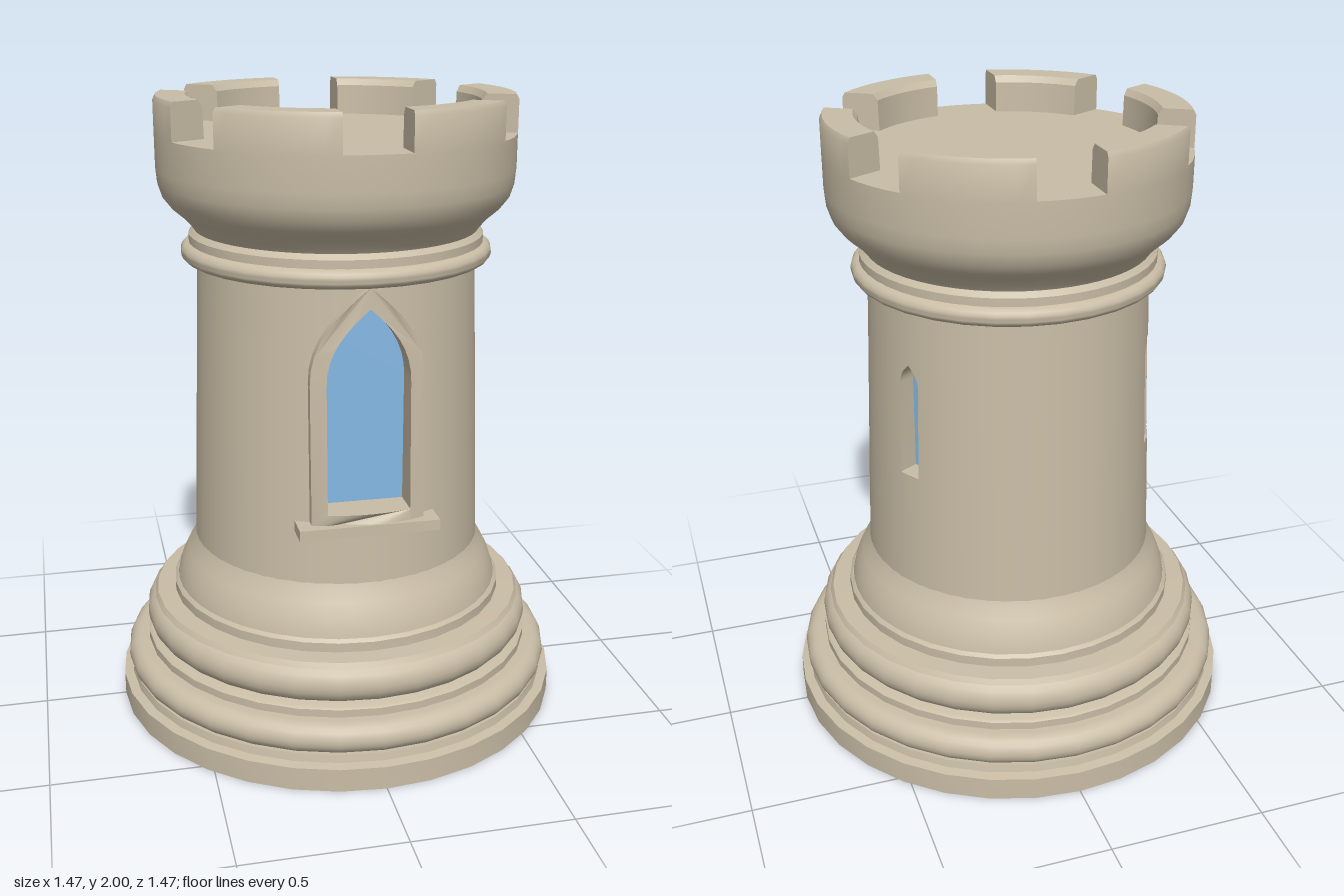
import * as THREE from 'three';
import { toCreasedNormals } from 'three/addons/utils/BufferGeometryUtils.js';

const stone = new THREE.MeshStandardMaterial({ name: 'stone', color: 0xc9bda6 });
const glass = new THREE.MeshStandardMaterial({ name: 'glass', color: 0x86b8e4 });
const THIRD = Math.PI * 2 / 3;

// Radius of the tapering wall at a height
const wallRadius = (y) => 0.473 - 0.032 * (y - 0.56) / 0.92;
const wallZ = (x, y) => Math.sqrt(wallRadius(y) ** 2 - x * x);

// Pointed openings: half width, bottom, spring line, apex
const WINDOW = { w: 0.128, y0: 0.8, spring: 1.2, apex: 1.43 };
const FRAME = { w: 0.175, y0: 0.75, spring: 1.2, apex: 1.492 };
const WINDOW_HOLE = { w: 0.15, y0: 0.775, spring: 1.2, apex: 1.46 };
const SLIT = { w: 0.04, y0: 0.94, spring: 1.24, apex: 1.31 };
const SLIT_LINING = { w: 0.055, y0: 0.92, spring: 1.24, apex: 1.335 };
const STEPS = 10;

function halfWidth(o, y) {
  if (y < o.y0 || y > o.apex) return 0;
  return o.w * (1 - Math.max(0, (y - o.spring) / (o.apex - o.spring)) ** 2.2);
}

function archHeights(o) {
  return Array.from({ length: STEPS + 1 }, (_, i) => {
    const t = Math.sin(i / STEPS * Math.PI / 2);
    return o.spring + (o.apex - o.spring) * t;
  });
}

function archOutline(o) {
  const pts = [];
  for (let i = 0; i <= 8; i++) pts.push(new THREE.Vector2(o.w * (i / 4 - 1), o.y0));
  const ys = archHeights(o);
  ys.forEach((y) => pts.push(new THREE.Vector2(halfWidth(o, y), y)));
  ys.slice(0, -1).reverse().forEach((y) => pts.push(new THREE.Vector2(-halfWidth(o, y), y)));
  return pts;
}

function add(parent, name, geometry, material = stone) {
  const mesh = new THREE.Mesh(geometry, material);
  mesh.name = name;
  parent.add(mesh);
  return mesh;
}

// Turned part from a few [radius, y] points, bottom to top
function turned(parent, name, points, segments = 32) {
  const profile = points.map(([r, y]) => new THREE.Vector2(r, y));
  return add(parent, name, toCreasedNormals(new THREE.LatheGeometry(profile, segments), 0.7));
}

// Half-round moulding, closed at top and bottom
function moulding(parent, name, r, y0, y1, bulge) {
  const pts = [[0.3, y0]];
  for (let i = 0; i <= 10; i++) {
    const a = (i / 10 - 0.5) * Math.PI;
    pts.push([r - bulge + bulge * Math.cos(a), (y0 + y1) / 2 + (y1 - y0) / 2 * Math.sin(a)]);
  }
  pts.push([0.3, y1]);
  turned(parent, name, pts);
}

// Curved patch: each row has radius r, height y and runs from angle a to b
function patch(rows, cols, capped = false) {
  const pos = [], index = [], n = cols + 1;
  for (const { r, y, a, b } of rows) {
    for (let j = 0; j <= cols; j++) {
      const p = a + (b - a) * j / cols;
      pos.push(r * Math.sin(p), y, r * Math.cos(p));
    }
  }
  for (let i = 0; i < rows.length - 1; i++) {
    for (let j = 0; j < cols; j++) {
      const k = i * n + j;
      index.push(k, k + 1, k + n + 1, k, k + n + 1, k + n);
    }
    if (capped && i > 0) {
      index.push(0, i * n, (i + 1) * n);
      index.push(cols, (i + 1) * n + cols, i * n + cols);
    }
  }
  const g = new THREE.BufferGeometry();
  g.setAttribute('position', new THREE.Float32BufferAttribute(pos, 3));
  g.setIndex(index);
  g.computeVertexNormals();
  return g;
}

// One third of the wall, between the centre lines of two openings
function wallSector(k) {
  const openings = [WINDOW_HOLE, SLIT, SLIT];
  const from = openings[k], to = openings[(k + 1) % 3];
  const ys = [0.55, 1.49];
  for (const o of [WINDOW_HOLE, SLIT]) ys.push(o.y0 - 1e-5, o.y0, ...archHeights(o));
  ys.sort((p, q) => p - q);
  const rows = ys.map((y) => {
    const r = wallRadius(y);
    return {
      r, y,
      a: k * THIRD + Math.asin(halfWidth(from, y) / r),
      b: (k + 1) * THIRD - Math.asin(halfWidth(to, y) / r),
    };
  });
  const g = patch(rows, 24);
  const p = g.attributes.position, v = new THREE.Vector3();
  for (let i = 0; i < p.count; i++) {
    v.set(p.getX(i), 0, p.getZ(i)).normalize().setY(0.035).normalize();
    g.attributes.normal.setXYZ(i, v.x, v.y, v.z);
  }
  return g;
}

// Ring around an opening: its front follows the wall, its back is flat
function surround(outer, inner, back, offset) {
  const shape = new THREE.Shape(archOutline(outer));
  shape.holes.push(new THREE.Path(archOutline(inner)));
  const g = new THREE.ExtrudeGeometry(shape, { depth: 1, bevelEnabled: false });
  const p = g.attributes.position;
  for (let i = 0; i < p.count; i++) {
    p.setZ(i, p.getZ(i) > 0.5 ? wallZ(p.getX(i), p.getY(i)) + offset : back);
  }
  return toCreasedNormals(g, 0.5);
}

function pane(parent, name, opening, z) {
  add(parent, name, new THREE.ShapeGeometry(new THREE.Shape(archOutline(opening))), glass).position.z = z;
}

export function createModel() {
  const tower = new THREE.Group();
  tower.name = 'tower';

  // Stepped base
  turned(tower, 'plinth', [[0, 0], [0.735, 0], [0.735, 0.075], [0.705, 0.08], [0.7, 0.105], [0.3, 0.105]]);
  moulding(tower, 'lowerMoulding', 0.715, 0.1, 0.2, 0.05);
  turned(tower, 'lowerStep', [[0.645, 0.19], [0.645, 0.225], [0.635, 0.232], [0.3, 0.232]]);
  moulding(tower, 'upperMoulding', 0.645, 0.23, 0.36, 0.06);
  turned(tower, 'upperStep', [[0.62, 0.35], [0.61, 0.367], [0.55, 0.37], [0.55, 0.4], [0.54, 0.41], [0.3, 0.41]]);
  turned(tower, 'flaredFoot', [[0.538, 0.405], [0.533, 0.43], [0.52, 0.47], [0.5, 0.51], [0.483, 0.54], [0.473, 0.565]], 48);

  // Wall with three openings
  for (let k = 0; k < 3; k++) add(tower, 'wall', wallSector(k));

  // Front window
  const front = new THREE.Group();
  front.name = 'frontWindow';
  tower.add(front);
  add(front, 'windowFrame', surround(FRAME, WINDOW, 0.375, 0.03));
  pane(front, 'windowPane', WINDOW, 0.38);
  add(front, 'windowSill', new THREE.BoxGeometry(0.436, 0.034, 0.12)).position.set(0, 0.748, 0.438);

  // Narrow slits towards the back
  for (const k of [1, 2]) {
    const slit = new THREE.Group();
    slit.name = 'slitWindow';
    slit.rotation.y = k * THIRD;
    add(slit, 'slitLining', surround(SLIT_LINING, SLIT, 0.385, -0.003));
    pane(slit, 'slitPane', SLIT, 0.39);
    tower.add(slit);
  }

  // Neck ring and flared crown
  moulding(tower, 'neckRing', 0.492, 1.49, 1.55, 0.03);
  turned(tower, 'neckStep', [[0.465, 1.54], [0.465, 1.575], [0.45, 1.59], [0.3, 1.59]], 48);
  turned(tower, 'crown', [[0.445, 1.585], [0.458, 1.605], [0.485, 1.635], [0.52, 1.665], [0.543, 1.695],
    [0.556, 1.735], [0.56, 1.78], [0.56, 1.885], [0, 1.885]], 60);

  // Battlements with parallel-sided gaps
  const section = [[0.56, 1.88], [0.56, 1.985], [0.552, 2], [0.462, 2], [0.448, 1.98], [0.445, 1.88]];
  for (let k = 0; k < 6; k++) {
    const mid = Math.PI / 2 + k * Math.PI / 3;
    const rows = section.map(([r, y]) => {
      const half = Math.PI / 6 - Math.asin(0.1 / r);
      return { r, y, a: mid - half, b: mid + half };
    });
    add(tower, 'merlon', toCreasedNormals(patch(rows, 8, true), 0.5));
  }
  return tower;
}
